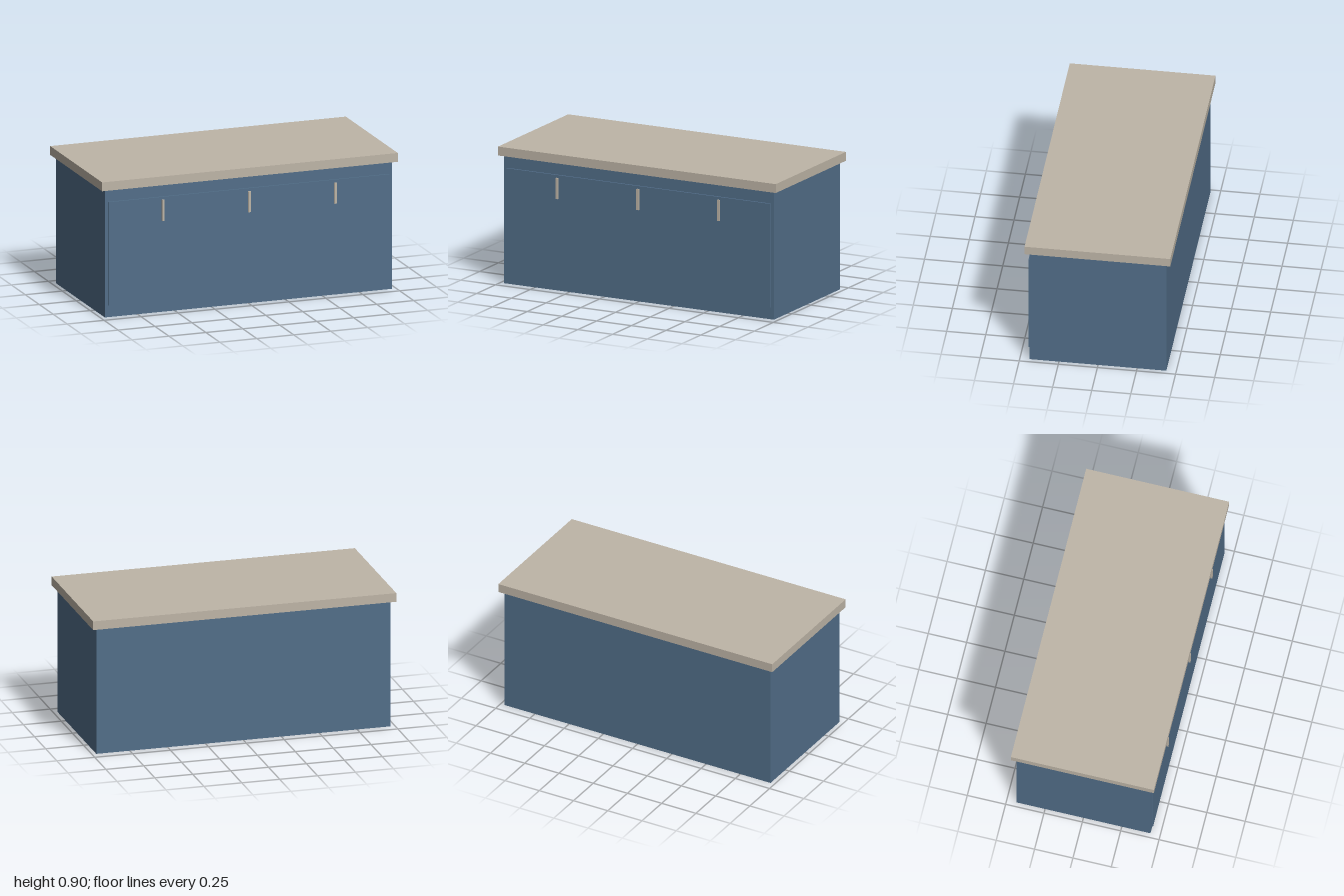
import * as THREE from 'three';

export function createModel() {
  const model = new THREE.Group();
  model.name = 'kitchenIsland';

  const bluePaint = new THREE.MeshStandardMaterial({ color: 0x526e89 });
  bluePaint.name = 'bluePaint';
  const beigeStone = new THREE.MeshStandardMaterial({ color: 0xbeb5a7 });
  beigeStone.name = 'beigeStone';

  // Box given by its width, centre x, and y and z ranges
  function addBox(name, material, width, x, [y0, y1], [z0, z1]) {
    const mesh = new THREE.Mesh(new THREE.BoxGeometry(width, y1 - y0, z1 - z0), material);
    mesh.name = name;
    mesh.position.set(x, (y0 + y1) / 2, (z0 + z1) / 2);
    model.add(mesh);
  }

  // Cabinet body with an overhanging worktop
  addBox('cabinetBody', bluePaint, 1.942, 0, [0, 0.838], [-0.437, 0.437]);
  addBox('worktop', beigeStone, 2, 0, [0.838, 0.896], [-0.466, 0.466]);

  // Wide front panel
  addBox('frontPanel', bluePaint, 1.9, 0, [0.079, 0.757], [0.437, 0.449]);

  // Three upright handles
  for (const x of [-0.583, 0, 0.583]) {
    addBox('handle', beigeStone, 0.016, x, [0.602, 0.739], [0.449, 0.46]);
  }

  return model;
}
